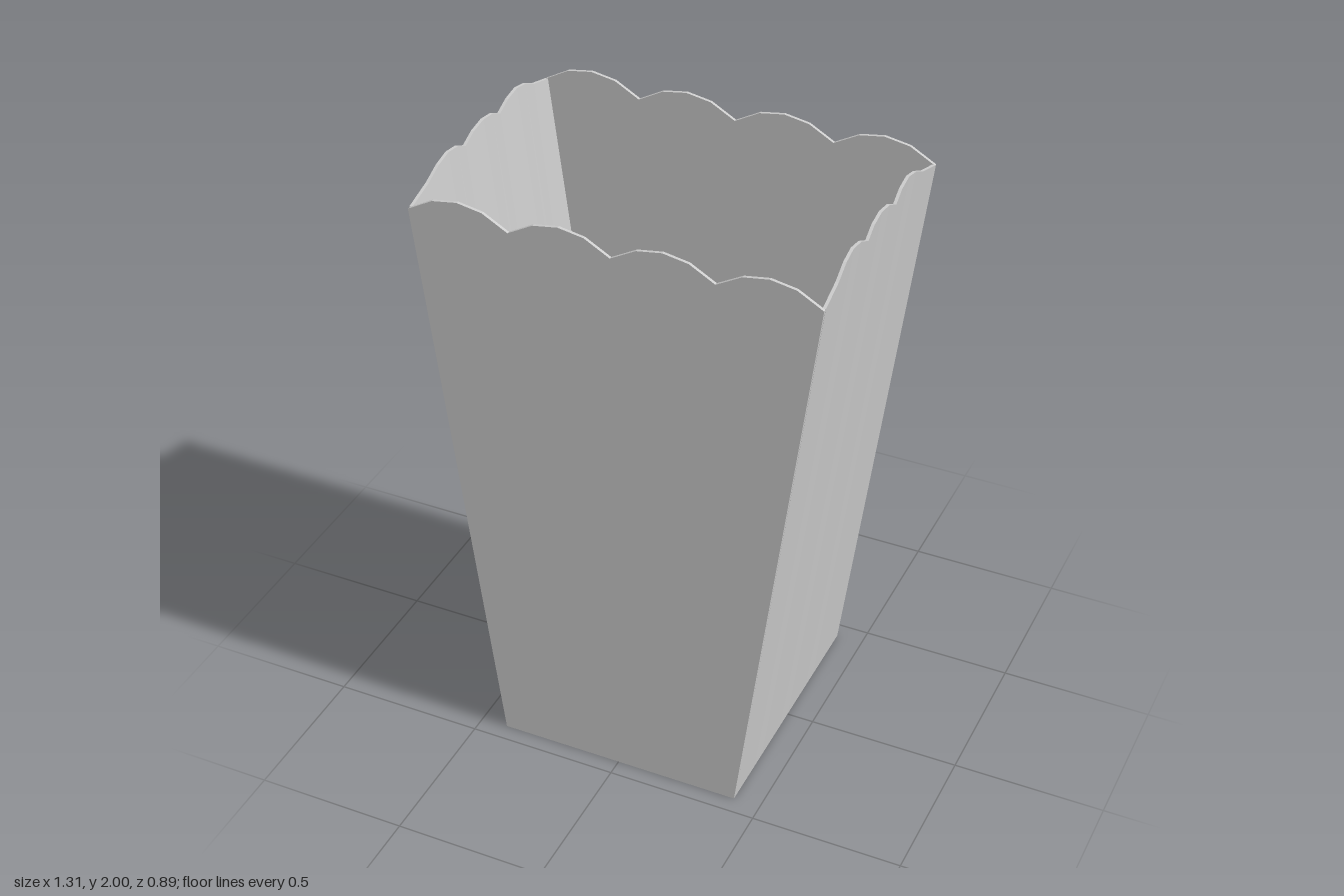
import * as THREE from 'three';

const T = 0.01; // board thickness
const material = new THREE.MeshStandardMaterial({ color: 0xcccccc, flatShading: true });

// Thin panel facing +z, lofted through vertical columns.
// Each column: [bottom x, bottom z, top x, top y, top z]
function panelGeometry(columns) {
  const rings = columns.map(([bx, bz, tx, ty, tz]) => [
    [bx, 0, bz], [tx, ty, tz], [tx, ty, tz - T], [bx, 0, bz - T],
  ]);
  const pos = [];
  const quad = (a, b, c, d) => pos.push(...a, ...b, ...c, ...a, ...c, ...d);
  for (let i = 0; i < rings.length - 1; i++) {
    const a = rings[i], b = rings[i + 1];
    for (let k = 0; k < 4; k++) quad(a[k], b[k], b[(k + 1) % 4], a[(k + 1) % 4]);
  }
  quad(...rings[0]);
  quad(...rings[rings.length - 1].slice().reverse());
  const g = new THREE.BufferGeometry();
  g.setAttribute('position', new THREE.Float32BufferAttribute(pos, 3));
  g.computeVertexNormals();
  return g;
}

// Broad panel: four equal scallops, narrowing towards the base
function broadColumns() {
  const arc = [1.925, 1.971, 1.985, 1.971];
  const cols = [];
  for (let i = 0; i <= 16; i++) {
    const u = i / 8 - 1;
    cols.push([0.41 * u, 0.443, 0.652 * u, arc[i % 4], 0.443]);
  }
  return cols;
}

// Side panel: three scallops with sloping shoulders, leaning outwards
function sideColumns() {
  const half = [[0.433, 1.927], [0.335, 1.957], [0.275, 1.987], [0.218, 2], [0.16, 1.99], [0.11, 1.965], [0.06, 1.99]];
  const profile = [
    ...half.map(([w, y]) => [-w, y]),
    [0, 2],
    ...half.slice().reverse(),
  ];
  return profile.map(([w, y]) => [w, 0.41, w, y, 0.653 - (y - 1.925) * 0.08]);
}

export function createModel() {
  const carton = new THREE.Group();
  carton.name = 'carton';

  const add = (name, geometry, turn = 0) => {
    const mesh = new THREE.Mesh(geometry, material);
    mesh.name = name;
    mesh.rotation.y = turn;
    carton.add(mesh);
    return mesh;
  };

  const broad = panelGeometry(broadColumns());
  add('frontPanel', broad);
  add('backPanel', broad, Math.PI);

  const side = panelGeometry(sideColumns());
  add('leftPanel', side, Math.PI / 2);
  add('rightPanel', side, -Math.PI / 2);

  // Floor, fitted between the panels
  add('floor', new THREE.BoxGeometry(0.802, T, 0.867)).position.y = T / 2;

  return carton;
}
